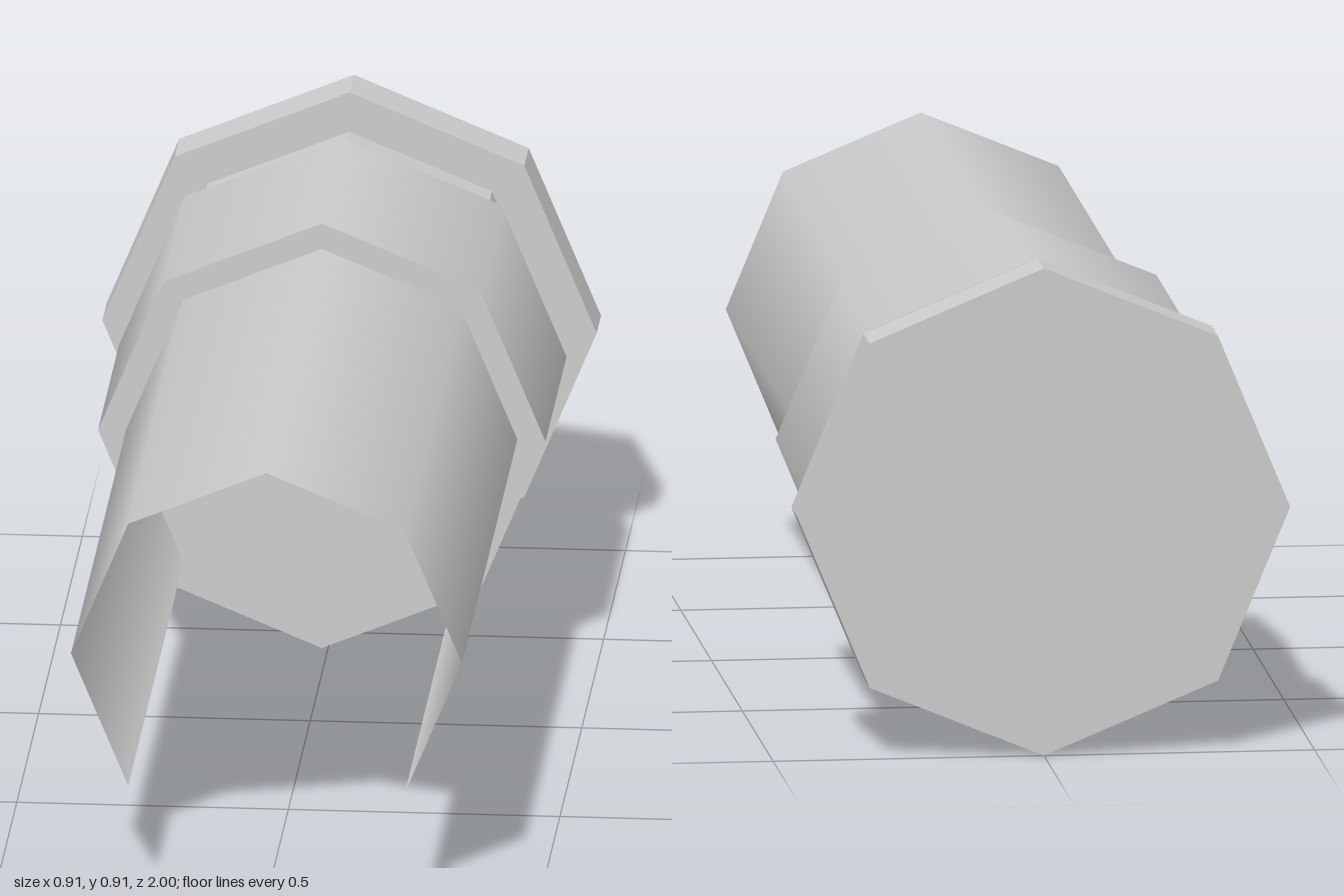
import * as THREE from 'three';

export function createModel() {
  const group = new THREE.Group();
  const grey = new THREE.MeshStandardMaterial({ color: 0xcccccc, side: THREE.DoubleSide });
  grey.name = 'light grey';

  // Octagonal sleeve along z whose two bottom facets are left open
  function sleeve(radius, zFront, zBack, flat) {
    let g = new THREE.CylinderGeometry(radius, radius, zFront - zBack, 6, 1, true, Math.PI / 4, Math.PI * 1.5);
    g.rotateX(Math.PI / 2);
    g.translate(0, 0, (zFront + zBack) / 2);
    if (flat) {
      g = g.toNonIndexed();
      g.computeVertexNormals();
    }
    return g;
  }

  function addPart(name, { radius, y, zFront, zBack, flat = false, capped = false }) {
    const part = new THREE.Group();
    part.name = name;
    part.position.y = y;
    const wall = new THREE.Mesh(sleeve(radius, zFront, zBack, flat), grey);
    wall.name = name + 'Wall';
    part.add(wall);
    // Full octagon plates closing both ends
    if (capped) {
      for (const [end, z, turn] of [['Front', zFront, 0], ['Back', zBack, Math.PI]]) {
        const cap = new THREE.Mesh(new THREE.CircleGeometry(radius, 8), grey);
        cap.name = name + end + 'Cap';
        cap.position.z = z;
        cap.rotation.y = turn;
        part.add(cap);
      }
    }
    group.add(part);
  }

  addPart('tube', { radius: 0.36, y: 0.465, zFront: 1, zBack: -0.3 });
  addPart('collar', { radius: 0.412, y: 0.462, zFront: -0.265, zBack: -0.745, capped: true });
  addPart('neck', { radius: 0.371, y: 0.463, zFront: -0.745, zBack: -0.9, flat: true });
  addPart('endDisc', { radius: 0.455, y: 0.455, zFront: -0.9, zBack: -1, flat: true, capped: true });

  return group;
}
